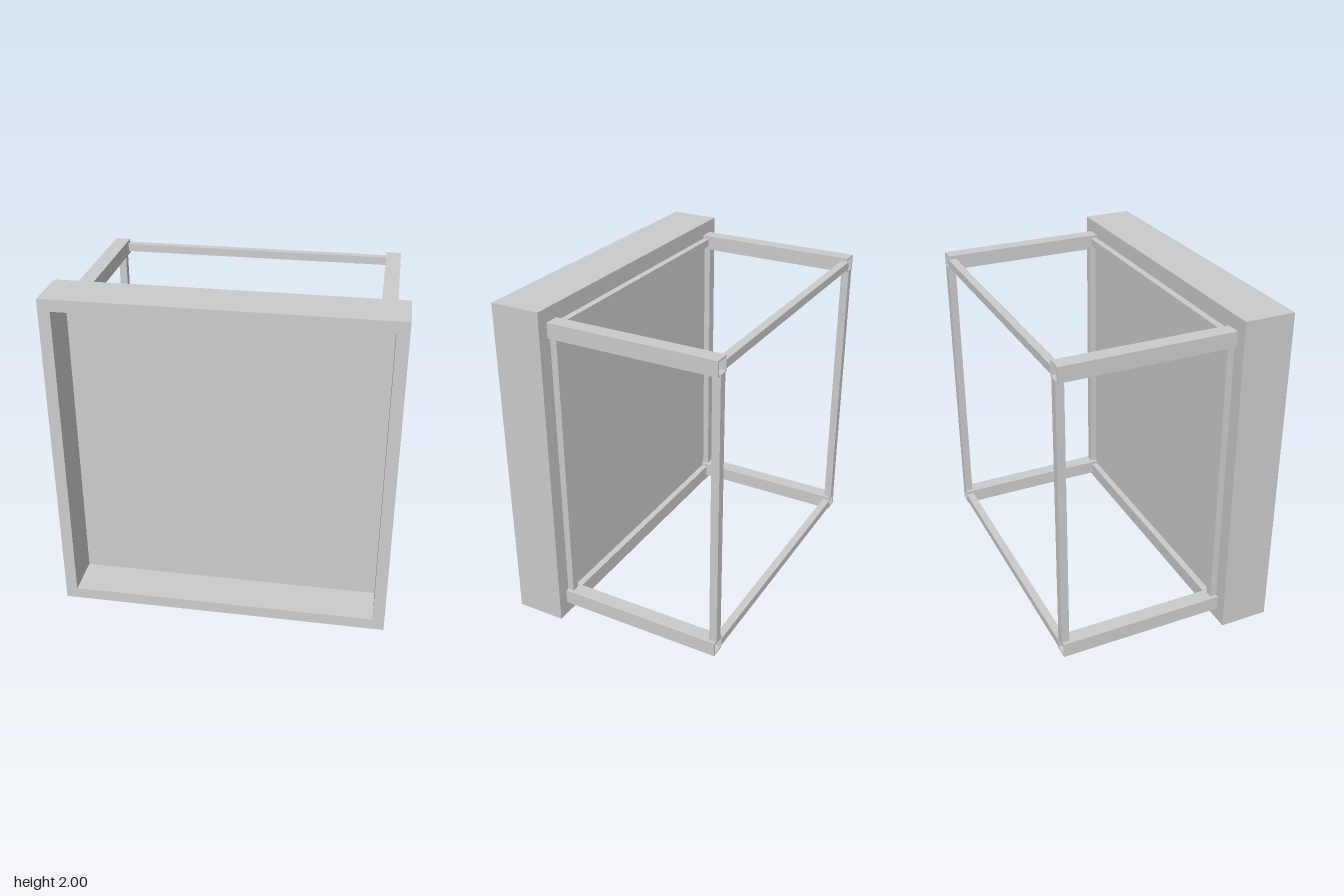
import * as THREE from 'three';

const material = new THREE.MeshStandardMaterial({ color: 0xcccccc, flatShading: true });

function rectPath(path, hw, hh) {
  path.moveTo(-hw, -hh);
  path.lineTo(hw, -hh);
  path.lineTo(hw, hh);
  path.lineTo(-hw, hh);
  path.closePath();
  return path;
}

// Rectangular ring extruded along z, starting at z = 0
function ring(w, h, wall, depth) {
  const shape = rectPath(new THREE.Shape(), w / 2, h / 2);
  shape.holes.push(rectPath(new THREE.Path(), w / 2 - wall, h / 2 - wall));
  return new THREE.ExtrudeGeometry(shape, { depth, bevelEnabled: false });
}

export function createModel() {
  const model = new THREE.Group();
  const add = (name, geometry, x, y, z) => {
    const mesh = new THREE.Mesh(geometry, material);
    mesh.name = name;
    mesh.position.set(x, y, z);
    model.add(mesh);
  };

  // Shallow tray: rim with its back panel
  const midY = 1, backZ = 0.36, panel = 0.045;
  add('trayRim', ring(1.98, 2, 0.07, 0.3), 0, midY, backZ);
  add('trayBack', new THREE.BoxGeometry(1.84, 1.86, panel), 0, midY, backZ + panel / 2);

  // Four hollow square rails running back from the tray
  const tube = 0.09, wall = 0.01, railX = 0.875, railY = 0.875, endZ = -0.655;
  for (const sx of [-1, 1]) {
    for (const sy of [-1, 1]) {
      add('rail', ring(tube, tube, wall, backZ - endZ), sx * railX, midY + sy * railY, endZ);
    }
  }

  // Thin posts and crossbars joining the rails, their ends set into the rail walls
  const bar = 0.048;
  const length = 2 * (railX - tube / 2 + wall);
  for (const [place, z, depth] of [['rear', -0.636, bar], ['front', 0.34, 0.04]]) {
    for (const s of [-1, 1]) {
      add(place + 'Post', new THREE.BoxGeometry(bar, length, depth), s * railX, midY, z);
      add(place + 'Crossbar', new THREE.BoxGeometry(length, bar, depth), 0, midY + s * railY, z);
    }
  }
  return model;
}
